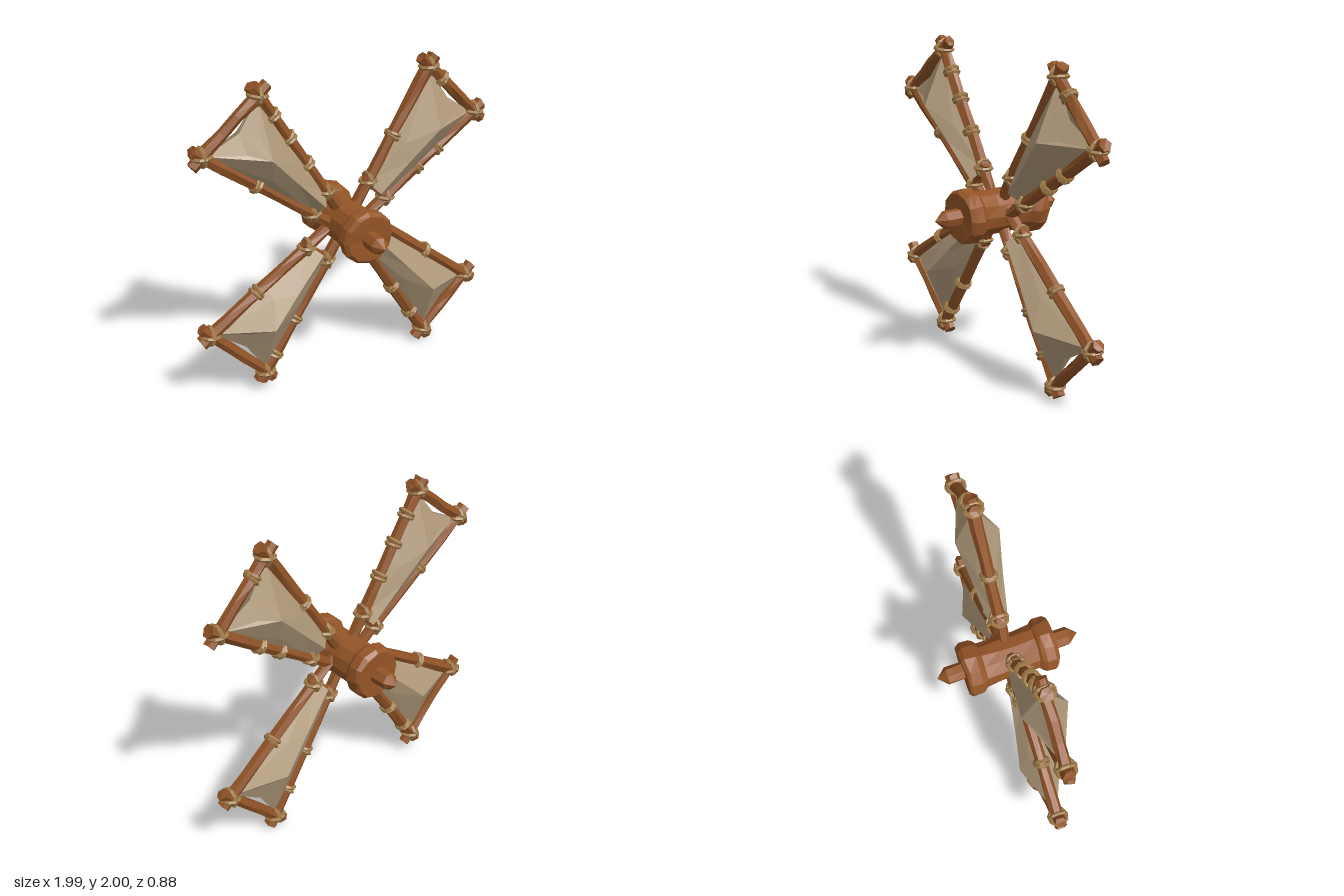
import * as THREE from 'three';

const mat = (color, side = THREE.FrontSide) =>
  new THREE.MeshStandardMaterial({ color, flatShading: true, roughness: 1, side });
const WOOD = mat(0x8f5226), HUB = mat(0x955527), ROPE = mat(0xa07c4a);
const SAIL = mat(0xb19a7b, THREE.DoubleSide);

// Repeatable noise in -1..1 from a position
const noise = (x, y, z) => {
  const s = Math.sin(Math.round(x * 500) * 12.99 + Math.round(y * 500) * 78.23 + Math.round(z * 500) * 37.72) * 43758.55;
  return (s - Math.floor(s)) * 2 - 1;
};

// Nudges vertices for a hand-carved look, keeping seams closed
function roughen(geo, amount) {
  const p = geo.attributes.position;
  for (let i = 0; i < p.count; i++) {
    const x = p.getX(i), y = p.getY(i), z = p.getZ(i);
    p.setXYZ(i, x + amount * noise(x, y, z), y + amount * noise(y, z, x), z + amount * noise(z, x, y));
  }
  return geo;
}

function add(parent, name, geo, material) {
  const m = new THREE.Mesh(geo, material);
  m.name = name;
  parent.add(m);
  return m;
}

const UP = new THREE.Vector3(0, 1, 0), FORWARD = new THREE.Vector3(0, 0, 1);

// Six-sided pole from one point to another, overshooting each end
function pole(parent, name, from, to, r0, r1, over0, over1) {
  const dir = to.clone().sub(from).normalize();
  const a = from.clone().addScaledVector(dir, -over0), b = to.clone().addScaledVector(dir, over1);
  const geo = roughen(new THREE.CylinderGeometry(r1, r0, a.distanceTo(b), 6, 5), 0.005);
  const m = add(parent, name, geo, WOOD);
  m.position.copy(a).lerp(b, 0.5);
  m.quaternion.setFromUnitVectors(UP, dir);
}

// Double loop of rope around a pole running along dir
function rope(parent, at, dir, radius = 0.042) {
  [-0.011, 0.011].forEach((offset, i) => {
    const m = add(parent, 'ropeLoop', new THREE.TorusGeometry(radius, 0.013, 5, 9), ROPE);
    m.position.copy(at).addScaledVector(dir, offset);
    const tilted = dir.clone().applyAxisAngle(FORWARD, i ? 0.15 : -0.1);
    m.quaternion.setFromUnitVectors(FORWARD, tilted);
  });
}

// Crossed rope lashing where two poles meet
function lashing(parent, at, d1, d2, radius) {
  for (const s of [1, -1]) {
    const dir = d1.clone().addScaledVector(d2, s).normalize();
    const m = add(parent, 'cornerLashing', new THREE.TorusGeometry(radius, 0.013, 5, 9), ROPE);
    m.position.copy(at);
    m.quaternion.setFromUnitVectors(FORWARD, dir);
  }
}

// Billowed cloth: a faceted pyramid on each side, peaked two thirds of the way out.
// Points are [along the blade, across it, depth].
const SAIL_POINTS = [
  [-0.02, 0, 0], [0.45, 0.01, 0.006], [0.98, 0.02, 0], [0.92, 0.5, 0.02], [0.98, 0.98, 0],
  [0.45, 0.99, 0.006], [-0.02, 1, 0], [-0.02, 0.5, 0.07], [0.67, 0.5, 0.15], [0.34, 0.5, 0.108],
  [0.42, 0.24, 0.07], [0.48, 0.77, 0.068], [0.81, 0.36, 0.078], [0.8, 0.66, 0.08]];
const SAIL_FACES = [
  0, 7, 9, 0, 9, 10, 0, 10, 1, 1, 10, 2, 10, 8, 2, 10, 9, 8, 2, 8, 12, 2, 12, 3, 12, 8, 3,
  6, 9, 7, 6, 11, 9, 6, 5, 11, 5, 4, 11, 11, 4, 8, 11, 8, 9, 4, 13, 8, 4, 3, 13, 13, 3, 8];

function sailGeometry(a, b, ai, bi, depthScale) {
  const pos = [];
  for (const [t, u, k] of SAIL_POINTS) {
    const p = ai.clone().lerp(a, t).lerp(bi.clone().lerp(b, t), u);
    pos.push(p.x, p.y, k * depthScale);
  }
  const geo = new THREE.BufferGeometry();
  geo.setAttribute('position', new THREE.Float32BufferAttribute(pos, 3));
  geo.setIndex(SAIL_FACES);
  geo.computeVertexNormals();
  return geo;
}

// One blade: two spars, tip bar, inner bar, sail and ropes
function blade(name, { a, b, ai, bi, ropesA, ropesB, ropesTip }) {
  const g = new THREE.Group();
  g.name = name;
  [a, b, ai, bi] = [a, b, ai, bi].map(([x, y]) => new THREE.Vector3(x, y, 0));
  const dirA = a.clone().sub(ai).normalize(), dirB = b.clone().sub(bi).normalize();
  const dirTip = b.clone().sub(a).normalize(), dirIn = bi.clone().sub(ai).normalize();

  pole(g, 'spar', ai, a, 0.035, 0.04, 0.2, 0.07);
  pole(g, 'spar', bi, b, 0.035, 0.04, 0.2, 0.07);
  pole(g, 'tipBar', a, b, 0.037, 0.037, 0.08, 0.08);
  pole(g, 'innerBar', ai, bi, 0.03, 0.03, 0.035, 0.035);
  add(g, 'sailFront', sailGeometry(a, b, ai, bi, 1), SAIL);
  add(g, 'sailBack', sailGeometry(a, b, ai, bi, -0.8), SAIL);

  for (const t of ropesA) rope(g, ai.clone().lerp(a, t), dirA);
  for (const t of ropesB) rope(g, bi.clone().lerp(b, t), dirB);
  for (const t of ropesTip) rope(g, a.clone().lerp(b, t), dirTip);
  lashing(g, a, dirA, dirTip, 0.054);
  lashing(g, b, dirB, dirTip, 0.054);
  lashing(g, ai, dirA, dirIn, 0.05);
  lashing(g, bi, dirB, dirIn, 0.05);
  return g;
}

// Turned part along the z axis from [radius, z] points
function turned(parent, name, points, sides, amount) {
  const geo = new THREE.LatheGeometry(points.map(([r, z]) => new THREE.Vector2(r, z)), sides);
  geo.rotateX(Math.PI / 2);
  add(parent, name, roughen(geo, amount), HUB).position.y = 1;
}

export function createModel() {
  const model = new THREE.Group();
  model.name = 'windmillSails';

  // Hub with thick end collars, and the pointed axle through it
  turned(model, 'hub', [[0, -0.285], [0.148, -0.285], [0.166, -0.265], [0.166, -0.2], [0.152, -0.178],
    [0.138, -0.165], [0.134, -0.06], [0.134, 0.06], [0.138, 0.165], [0.152, 0.178],
    [0.166, 0.2], [0.166, 0.26], [0.148, 0.28], [0, 0.28]], 12, 0.005);
  turned(model, 'axle', [[0, -0.442], [0.054, -0.385], [0.055, -0.28], [0.054, 0],
    [0.055, 0.28], [0.054, 0.38], [0, 0.44]], 7, 0.003);

  model.add(blade('upperLeftBlade', {
    a: [0.57, 1.88], b: [0.91, 1.53], ai: [0.155, 1.235], bi: [0.275, 1.1],
    ropesA: [0.4], ropesB: [0.35, 0.57], ropesTip: [0.27] }));
  model.add(blade('upperRightBlade', {
    a: [-0.56, 1.91], b: [-0.91, 1.62], ai: [-0.14, 1.235], bi: [-0.23, 1.11],
    ropesA: [0.3, 0.57, 0.8], ropesB: [0.53], ropesTip: [] }));
  model.add(blade('lowerRightBlade', {
    a: [-0.57, 0.13], b: [-0.92, 0.49], ai: [-0.14, 0.78], bi: [-0.27, 0.9],
    ropesA: [0.52, 0.84], ropesB: [0.52], ropesTip: [] }));
  model.add(blade('lowerLeftBlade', {
    a: [0.58, 0.075], b: [0.9, 0.39], ai: [0.14, 0.78], bi: [0.25, 0.91],
    ropesA: [0.45, 0.77], ropesB: [0.5], ropesTip: [] }));
  return model;
}
